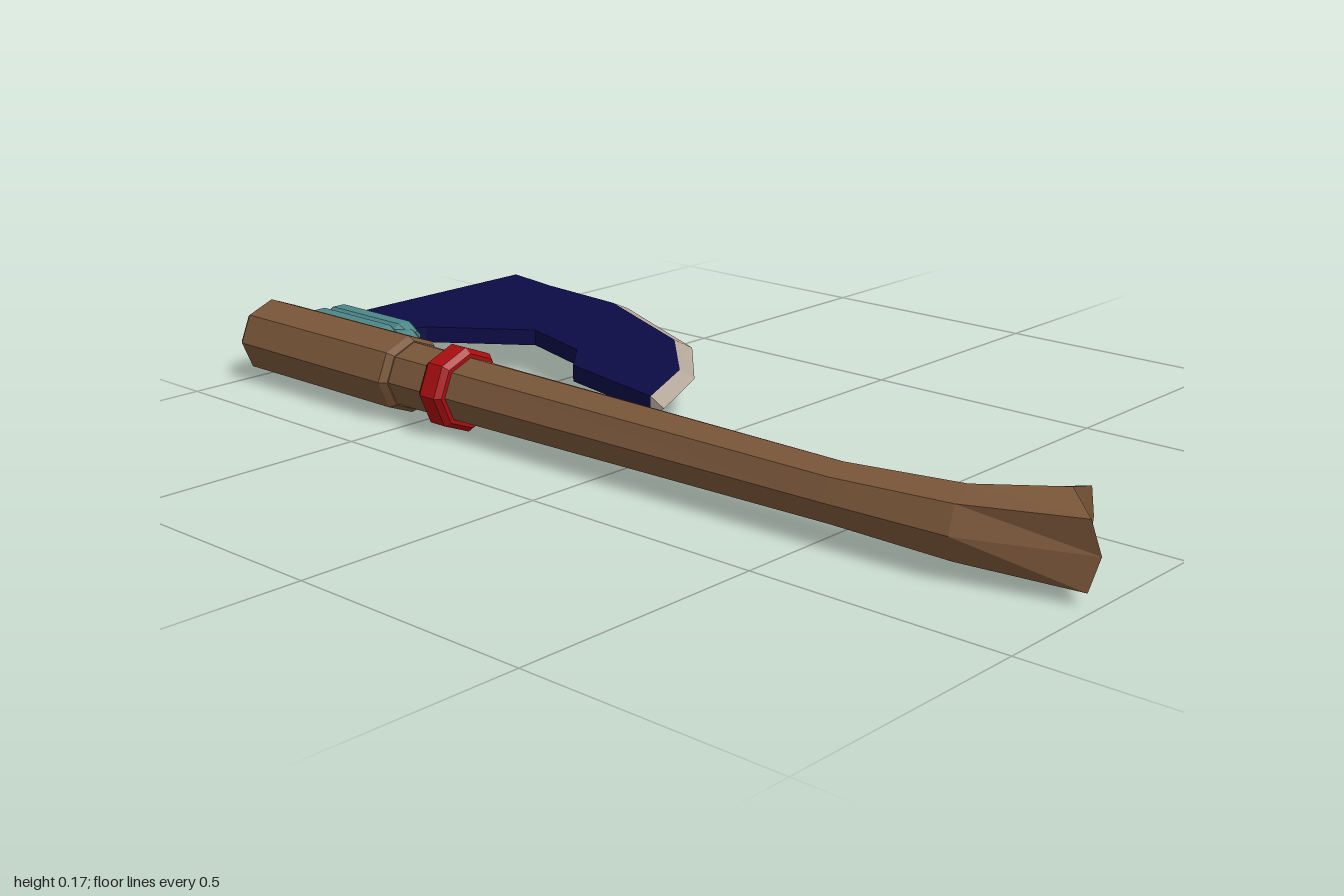
import * as THREE from 'three';

const CY = 0.084; // height of the axe's middle plane

const mat = (name, color, extra = {}) => {
  const m = new THREE.MeshStandardMaterial({ color, flatShading: true, ...extra });
  m.name = name;
  return m;
};

// Flat-shaded geometry from a list of points, three per triangle
function fromPoints(points) {
  const g = new THREE.BufferGeometry().setFromPoints(points);
  g.computeVertexNormals();
  return g;
}

// Skin rings running towards +z (each counter-clockwise seen from +z), capped at both ends
function loft(rings, endCentre) {
  const out = [];
  const n = rings[0].length;
  const mid = (r) => r.reduce((s, p) => s.add(p), new THREE.Vector3()).divideScalar(n);
  const first = rings[0], last = rings[rings.length - 1];
  const c0 = mid(first), c1 = endCentre || mid(last);
  for (let i = 0; i < n; i++) {
    const j = (i + 1) % n;
    for (let k = 0; k < rings.length - 1; k++) {
      const a = rings[k], b = rings[k + 1];
      out.push(a[i], a[j], b[j], a[i], b[j], b[i]);
    }
    out.push(c0, first[j], first[i], c1, last[i], last[j]);
  }
  return fromPoints(out);
}

// Octagon with corners on the axes; tilt shifts z with x
function octagon(x, z, rx, ry, tilt = 0) {
  return Array.from({ length: 8 }, (_, i) => {
    const a = (i * Math.PI) / 4;
    const dx = rx * Math.cos(a);
    return new THREE.Vector3(x + dx, CY + ry * Math.sin(a), z + tilt * dx);
  });
}

// Chamfered rectangle for the metal straps
function chamfered(x0, x1, h, c, z) {
  return [[x1, -h + c], [x1, h - c], [x1 - c, h], [x0 + c, h],
    [x0, h - c], [x0, -h + c], [x0 + c, -h], [x1 - c, -h]]
    .map(([x, y]) => new THREE.Vector3(x, CY + y, z));
}

export function createModel() {
  const group = new THREE.Group();
  const wood = mat('brown wood', 0x795639);
  const red = mat('red band', 0xa80e10);
  const teal = mat('teal metal', 0x4c8688);
  const navy = mat('navy blade', 0x0c0b45);
  const steel = mat('pale steel', 0xb5a99b, { side: THREE.DoubleSide });
  const add = (name, geometry, material) => {
    const m = new THREE.Mesh(geometry, material);
    m.name = name;
    group.add(m);
  };

  // Thick upper end of the handle
  add('handleHead', loft([
    octagon(-0.312, -1, 0.07, 0.068),
    octagon(-0.312, -0.985, 0.081, 0.078),
    octagon(-0.312, -0.545, 0.081, 0.078),
    octagon(-0.311, -0.53, 0.072, 0.07),
  ]), wood);

  // Shaft, bending into a flared knob with a creased end
  const knob = [
    [-0.118, 0, 0.895], [-0.137, 0.058, 0.9], [-0.218, 0.081, 0.915], [-0.275, 0.06, 0.985],
    [-0.264, 0, 1], [-0.275, -0.06, 0.985], [-0.218, -0.081, 0.915], [-0.137, -0.058, 0.9],
  ].map(([x, y, z]) => new THREE.Vector3(x, CY + y, z));
  add('handleShaft', loft([
    octagon(-0.311, -0.55, 0.07, 0.068),
    octagon(-0.309, -0.4, 0.069, 0.066),
    octagon(-0.302, 0.53, 0.055, 0.057, -0.1),
    octagon(-0.283, 0.765, 0.064, 0.068, -0.15),
    knob,
  ], new THREE.Vector3(-0.218, CY, 0.915)), wood);

  // Band around the shaft
  add('handleBand', loft([
    octagon(-0.31, -0.432, 0.076, 0.074),
    octagon(-0.31, -0.42, 0.085, 0.084),
    octagon(-0.31, -0.38, 0.085, 0.084),
    octagon(-0.31, -0.368, 0.076, 0.074),
  ]), red);

  // Two straps and the socket holding the blade
  const strap = (name, x0, x1, h, z0, z1) => add(name, loft([
    chamfered(x0 + 0.008, x1 - 0.008, h - 0.012, 0.008, z0),
    chamfered(x0, x1, h, 0.012, z0 + 0.02),
    chamfered(x0, x1, h, 0.012, z1 - 0.03),
    chamfered(x0 + 0.008, x1 - 0.008, h - 0.016, 0.008, z1),
  ]), teal);
  strap('innerStrap', -0.243, -0.187, 0.043, -0.975, -0.71);
  strap('outerStrap', -0.181, -0.128, 0.038, -0.985, -0.72);
  strap('bladeSocket', -0.235, -0.145, 0.028, -0.955, -0.69);

  // Cutting side: where the body ends, and the sharp line beyond it (x, z)
  const bevel = [[0.355, -0.957], [0.332, -0.82], [0.313, -0.6], [0.177, -0.29], [0.02, -0.13], [-0.147, -0.05]];
  const sharp = [[0.39, -0.957], [0.365, -0.82], [0.347, -0.59], [0.2, -0.262], [0.035, -0.105], [-0.15, -0.013]];
  const inner = [[-0.095, -0.31], [-0.01, -0.385], [0.04, -0.56], [-0.095, -0.75], [-0.2, -0.78], [-0.2, -0.957]];
  const T = 0.0165;

  // Blade body
  const outline = new THREE.Shape([...bevel, ...inner].map(([x, z]) => new THREE.Vector2(x, -z)));
  const body = new THREE.ExtrudeGeometry(outline, { depth: 2 * T, bevelEnabled: false });
  body.rotateX(-Math.PI / 2).translate(0, CY - T, 0);
  add('bladeBody', body, navy);

  // Sharpened edge, tapering from both faces to a line
  const at = ([x, z], y) => new THREE.Vector3(x, CY + y, z);
  const edge = [];
  for (let i = 0; i < bevel.length - 1; i++) {
    const [a, b, c, d] = [bevel[i], bevel[i + 1], sharp[i], sharp[i + 1]];
    edge.push(at(a, T), at(b, T), at(d, 0), at(a, T), at(d, 0), at(c, 0));
    edge.push(at(a, -T), at(d, 0), at(b, -T), at(a, -T), at(c, 0), at(d, 0));
  }
  const e = bevel.length - 1;
  edge.push(at(bevel[0], T), at(sharp[0], 0), at(bevel[0], -T));
  edge.push(at(bevel[e], T), at(bevel[e], -T), at(sharp[e], 0));
  add('bladeEdge', fromPoints(edge), steel);

  return group;
}
